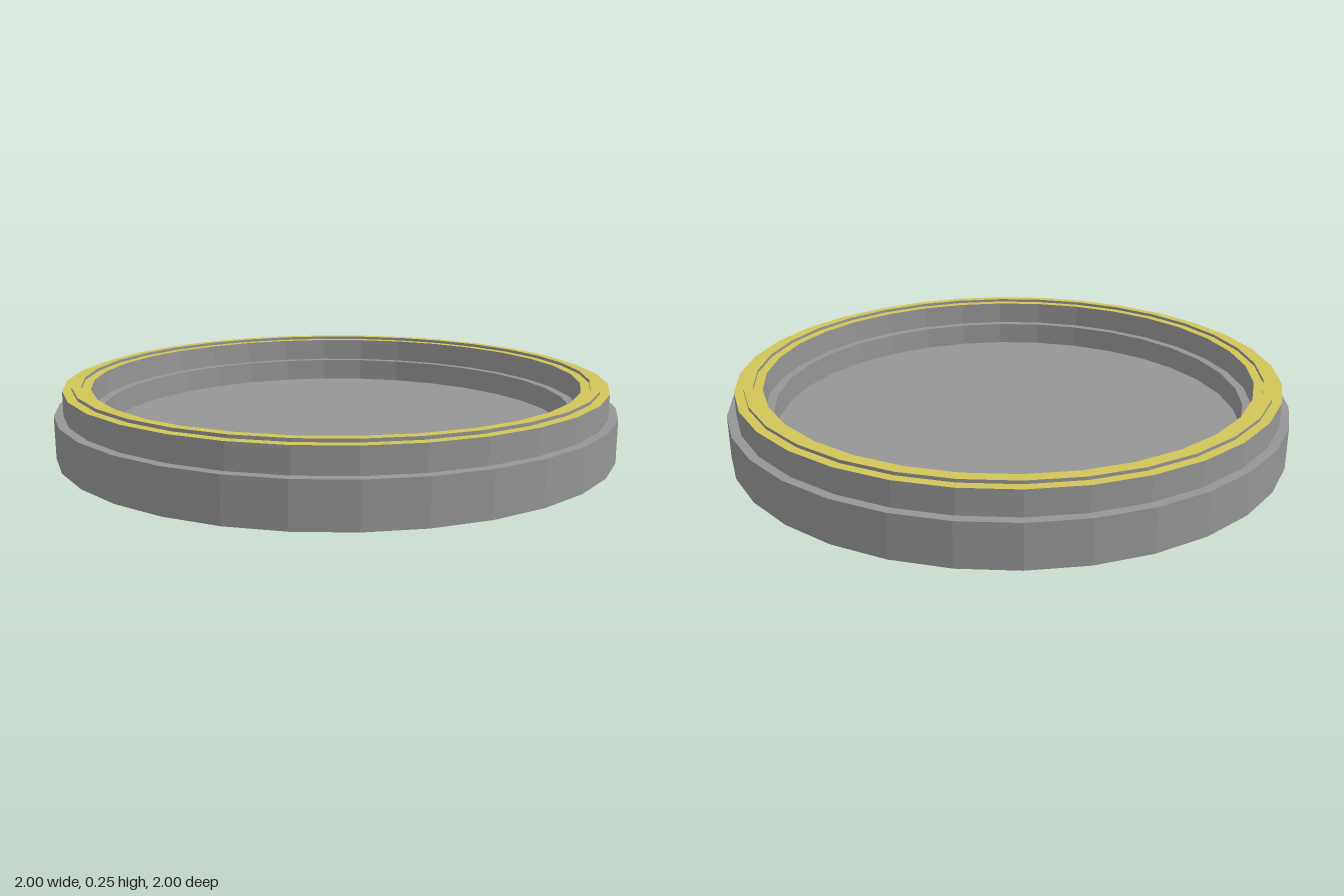
import * as THREE from 'three';

const SIDES = 32;

// Radii step inward evenly from the outer edge to the floor
const [R0, R1, R2, R3, R4, R5] = [0, 1, 2, 3, 4, 5].map((i) => 1 - i * 0.032);
const FLOOR = 0.065, STEP = 0.15, SHOULDER = 0.236, TOP = 0.247;

export function createModel() {
  const group = new THREE.Group();
  const grey = new THREE.MeshStandardMaterial({ color: 0x959595, flatShading: true });
  const yellow = new THREE.MeshStandardMaterial({ color: 0xd0c457, flatShading: true });

  // Revolves a [radius, height] profile around the vertical axis
  const turn = (name, material, profile) => {
    const points = profile.map(([r, y]) => new THREE.Vector2(r, y));
    const mesh = new THREE.Mesh(new THREE.LatheGeometry(points, SIDES), material);
    mesh.name = name;
    group.add(mesh);
  };

  // Underside, base band, outer ledge and rim wall
  turn('outerShell', grey, [[0, 0], [R0, 0], [R0, STEP], [R1, STEP], [R1, SHOULDER]]);

  // Rim wall, inner ledge and recessed floor
  turn('innerDish', grey, [[R4, SHOULDER], [R4, STEP], [R5, STEP], [R5, FLOOR], [0, FLOOR]]);

  // Sides of the raised ridge on the rim
  turn('ridgeOuterWall', grey, [[R2, SHOULDER], [R2, TOP]]);
  turn('ridgeInnerWall', grey, [[R3, TOP], [R3, SHOULDER]]);

  // Coloured top faces of the rim
  turn('outerRimTop', yellow, [[R1, SHOULDER], [R2, SHOULDER]]);
  turn('ridgeTop', yellow, [[R2, TOP], [R3, TOP]]);
  turn('innerRimTop', yellow, [[R3, SHOULDER], [R4, SHOULDER]]);

  return group;
}
